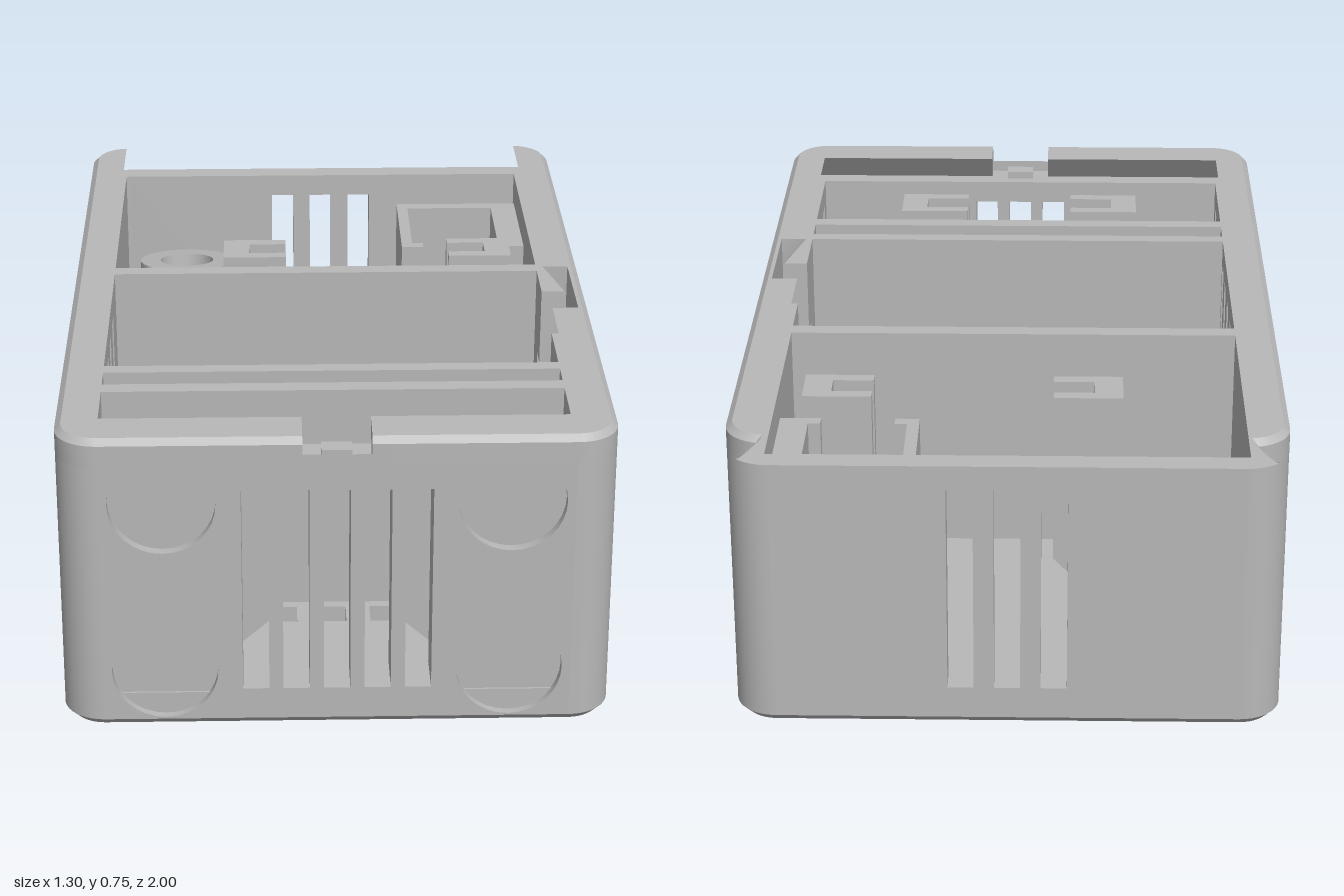
import * as THREE from 'three';
import { toCreasedNormals } from 'three/addons/utils/BufferGeometryUtils.js';

const gray = new THREE.MeshStandardMaterial({ color: 0xb8b8b8 });
gray.name = 'matte gray plastic';
const V = (x, y) => new THREE.Vector2(x, y);
const W = 0.65, L = 1, R = 0.1, TOP = 0.68, FLOOR = 0.1;

export function createModel() {
  const group = new THREE.Group();

  const add = (name, geometry) => {
    const mesh = new THREE.Mesh(toCreasedNormals(geometry, 0.6), gray);
    mesh.name = name;
    group.add(mesh);
    return mesh;
  };
  const box = (name, x0, x1, y0, y1, z0, z1) => {
    const m = add(name, new THREE.BoxGeometry(x1 - x0, y1 - y0, z1 - z0));
    m.position.set((x0 + x1) / 2, (y0 + y1) / 2, (z0 + z1) / 2);
  };
  const extrude = (points, holes, depth) => {
    const shape = new THREE.Shape(points);
    shape.holes = holes;
    return new THREE.ExtrudeGeometry(shape, { depth, bevelEnabled: false, curveSegments: 16 });
  };
  // Plan outline (x, z) raised from y0 to y1
  const plan = (name, points, holes, y0, y1) =>
    add(name, extrude(points, holes, y1 - y0).rotateX(Math.PI / 2).translate(0, y1, 0));
  // Wall facing z: outline (x, y)
  const wallZ = (name, points, holes, z0, z1) =>
    add(name, extrude(points, holes, z1 - z0).translate(0, 0, z0));
  // Wall facing x: outline (z, y)
  const wallX = (name, points, holes, x0, x1) =>
    add(name, extrude(points, holes, x1 - x0).rotateY(-Math.PI / 2).translate(x1, 0, 0));

  const rect = (u0, u1, v0, v1) => [V(u0, v0), V(u1, v0), V(u1, v1), V(u0, v1)];
  const hole = (points) => new THREE.Path(points);
  const slot = (u, v0, w = 0.062, v1 = 0.62) => hole(rect(u - w / 2, u + w / 2, v0, v1));
  const circle = (x, y, r) => new THREE.Path().absarc(x, y, r, 0, Math.PI * 2, true);
  const arc = (cx, cy, r, a0, a1, n = 10) => Array.from({ length: n + 1 }, (_, i) => {
    const a = a0 + (a1 - a0) * i / n;
    return V(cx + r * Math.cos(a), cy + r * Math.sin(a));
  });
  const Q = Math.PI / 2;
  const outline = (d) => [[1, 1], [-1, 1], [-1, -1], [1, -1]].flatMap(([sx, sz], i) =>
    arc(sx * (W - R), sz * (L - R), R - d, i * Q, (i + 1) * Q));

  // Skin between stacked rows of points; rows run along the path
  const loft = (rows, closedSection, flip) => {
    const pos = [];
    const tri = (a, b, c) => (flip ? [a, c, b] : [a, b, c]).forEach((p) => pos.push(p.x, p.y, p.z));
    const m = rows.length, n = rows[0].length;
    for (let j = 0; j < (closedSection ? m : m - 1); j++) {
      const A = rows[j], B = rows[(j + 1) % m];
      for (let i = 0; i < n - 1; i++) {
        tri(A[i], B[i], A[i + 1]);
        tri(B[i], B[i + 1], A[i + 1]);
      }
    }
    if (closedSection) for (let j = 1; j < m - 1; j++) {
      tri(rows[0][n - 1], rows[j][n - 1], rows[j + 1][n - 1]);
      tri(rows[0][0], rows[j + 1][0], rows[j][0]);
    }
    return new THREE.BufferGeometry().setAttribute('position', new THREE.Float32BufferAttribute(pos, 3));
  };

  // Floor with blind keyhole hangers and a row of vents
  const vents = () => Array.from({ length: 9 }, (_, i) =>
    hole(rect(-0.485 + i * 0.1213 - 0.031, -0.485 + i * 0.1213 + 0.031, 0.6, 0.675)));
  const keyhole = (x, z) => {
    const r = 0.105, w = 0.035, a = Math.asin(w / r);
    return hole([...arc(x, z, r, -Q + a, 3 * Q - a, 28), ...arc(x, z - 0.19, w, 2 * Q, 4 * Q, 8).map(
      (p) => V(p.x, 2 * (z - 0.19) - p.y + 2 * (p.y - (z - 0.19)))).map((p) => p)]);
  };
  plan('floorUnderside', outline(0.02), [...vents(), keyhole(0.2, -0.46), keyhole(0.2, 0.45)], 0, 0.08);
  plan('floorTop', rect(-0.57, 0.57, -0.95, 0.9), vents(), 0.08, FLOOR);
  const ring = (d, y) => {
    const p = outline(d);
    return [...p, p[0]].map((q) => new THREE.Vector3(q.x, y, q.y));
  };
  add('bottomChamfer', loft([ring(0.02, 0), ring(0, 0.02)], false, false));

  // Corner columns
  for (const s of [1, -1]) {
    const mir = (pts) => pts.map((p) => V(s * p.x, p.y));
    plan('frontCorner', mir([V(0.55, 0.88), V(0.56, 0.88), V(0.56, 0.9), ...arc(0.55, 0.9, R, 0, Q)]), [], 0.02, TOP);
    plan('backCorner', mir([V(0.56, -0.9), V(0.56, -0.94), V(0.55, -0.94), ...arc(0.55, -0.9, R, -Q, 0)]), [], 0.02, TOP);
  }

  // Front wall: vents and four shallow round recesses
  const frontSlots = () => [-2, -1, 0, 1, 2].map((i) => slot(i * 0.0955, 0.1));
  const discs = [0.405, -0.405].flatMap((x) => [0.15, 0.585].map((y) => circle(x, y, 0.125)));
  const face = rect(-0.55, 0.55, 0.02, TOP);
  wallZ('frontWallOuter', face, [...frontSlots(), ...discs], 0.975, 1);
  wallZ('frontWallInner', face, frontSlots(), 0.88, 0.975);

  // Back wall
  wallZ('backWall', face, [-0.11, 0, 0.11].map((x) => slot(x, 0.1)), -1, -0.94);

  // Left-hand wall at -x with seven vents
  const side = rect(-0.9, 0.9, 0.02, TOP);
  wallX('ventedSideWall', side,
    [-0.015, 0.12, 0.25, 0.37, 0.505, 0.67, 0.8].map((z, i) => slot(z, i < 5 ? 0.18 : 0.1)), -W, -0.56);

  // Wall at +x with three vents, a rounded window and a relief behind it
  const sideSlots = () => [slot(0.505, 0.18), slot(0.67, 0.1), slot(0.8, 0.1)];
  const r = 0.05;
  const windowHole = hole([...arc(0.31 - r, 0.48 - r, r, 0, Q), ...arc(-0.1 + r, 0.48 - r, r, Q, 2 * Q),
    ...arc(-0.1 + r, 0.21 + r, r, 2 * Q, 3 * Q), ...arc(0.31 - r, 0.21 + r, r, 3 * Q, 4 * Q)]);
  wallX('windowWallOuter', side, [...sideSlots(), windowHole], 0.625, W);
  wallX('windowWallInner', [V(-0.9, 0.02), V(0.9, 0.02), V(0.9, TOP), V(0.24, TOP), V(0.24, 0.48), V(0.31, 0.48),
    V(0.31, 0.21), V(-0.1, 0.21), V(-0.1, 0.48), V(-0.04, 0.48), V(-0.04, TOP), V(-0.9, TOP)], sideSlots(), 0.56, 0.625);
  box('windowStop', 0.5, 0.57, FLOOR, 0.265, 0.03, 0.17);

  // Dovetail rim for a sliding lid: open at the back, notched at the front
  for (const s of [1, -1]) {
    const path = (d) => [...arc(0.55, -0.9, R - d, -1.47, 0, 12),
      ...[-0.041, -0.039, 0.239, 0.241].map((z) => V(W - d, z)),
      ...arc(0.55, 0.9, R - d, 0, Q), V(0.08, L - d)];
    const relieved = (z) => s > 0 && z > -0.04 && z < 0.24;
    const row = (d, y, dx = 0, dz = 0) => path(d).map((p) => {
      const x = Math.min(p.x, W - (relieved(p.y) ? Math.min(dx, 0.025) : dx));
      const lift = p.y < 0 ? Math.max(0, 0.62 - p.x) : 0;
      return new THREE.Vector3(s * x, Math.max(y, Math.min(TOP + lift * 1.1, 0.745)), Math.min(p.y, L - dz));
    });
    add('lidRail', loft([row(0, TOP), row(0, 0.735), row(0.015, 0.75),
      row(0.015, 0.75, 0.09, 0.12), row(0, TOP, 0.03, 0.07)], true, s < 0));
  }
  box('lidCatch', -0.036, 0.036, TOP - 0.01, 0.7, 0.91, 0.955);

  // Partitions and board supports
  for (const [z0, z1] of [[-0.23, -0.185], [0.42, 0.46], [0.53, 0.575]])
    box('partition', -0.565, 0.565, FLOOR - 0.01, TOP, z0, z1);
  box('boardSupport', -0.205, -0.09, FLOOR, 0.37, -0.19, -0.09);
  box('boardSupport', -0.205, -0.09, FLOOR, 0.37, 0.29, 0.425);

  // Slotted clip posts with a narrower foot; slots face the middle
  const clip = (outer, inner, mid, z0, z1, wall, top) => {
    plan('clipPost', [V(outer, z0), V(inner, z0), V(inner, z0 + wall), V(mid, z0 + wall),
      V(mid, z1 - wall), V(inner, z1 - wall), V(inner, z1), V(outer, z1)], [], 0.2, top);
    const span = inner - outer;
    wallZ('clipFoot', [V(outer, FLOOR), V(mid, FLOOR), V(mid, 0.2), V(outer, 0.2)], [], z0, z1);
    for (const z of [z0, z1 - wall])
      wallZ('clipGusset', [V(mid, FLOOR), V(outer + span, 0.2), V(mid, 0.2)], [], z, z + wall);
  };
  for (const s of [1, -1]) {
    clip(s * 0.33, s * 0.145, s * 0.26, 0.695, 0.83, 0.033, 0.66);
    clip(s > 0 ? 0.51 : -0.275, s > 0 ? 0.34 : -0.105, s > 0 ? 0.44 : -0.205, -0.53, -0.4, 0.033, 0.64);
  }

  // Square holder in the back corner
  plan('cornerHolder', [V(0.22, -0.91), V(0.565, -0.91), V(0.565, -0.57), V(0.46, -0.57), V(0.46, -0.6), V(0.49, -0.6),
    V(0.49, -0.875), V(0.25, -0.875), V(0.25, -0.6), V(0.28, -0.6), V(0.28, -0.57), V(0.22, -0.57)], [], FLOOR, 0.6);
  box('holderBlock', 0.28, 0.46, FLOOR, 0.3, -0.71, -0.57);

  // Leaning round socket
  const socket = plan('roundSocket', arc(0, 0, 0.132, 0, 4 * Q, 32).slice(0, -1), [circle(0, 0, 0.075)], 0, 0.42);
  socket.position.set(-0.385, 0.08, -0.69);
  socket.rotation.x = -0.15;
  box('socketBlock', -0.45, -0.325, FLOOR, 0.42, -0.745, -0.64);

  return group;
}
